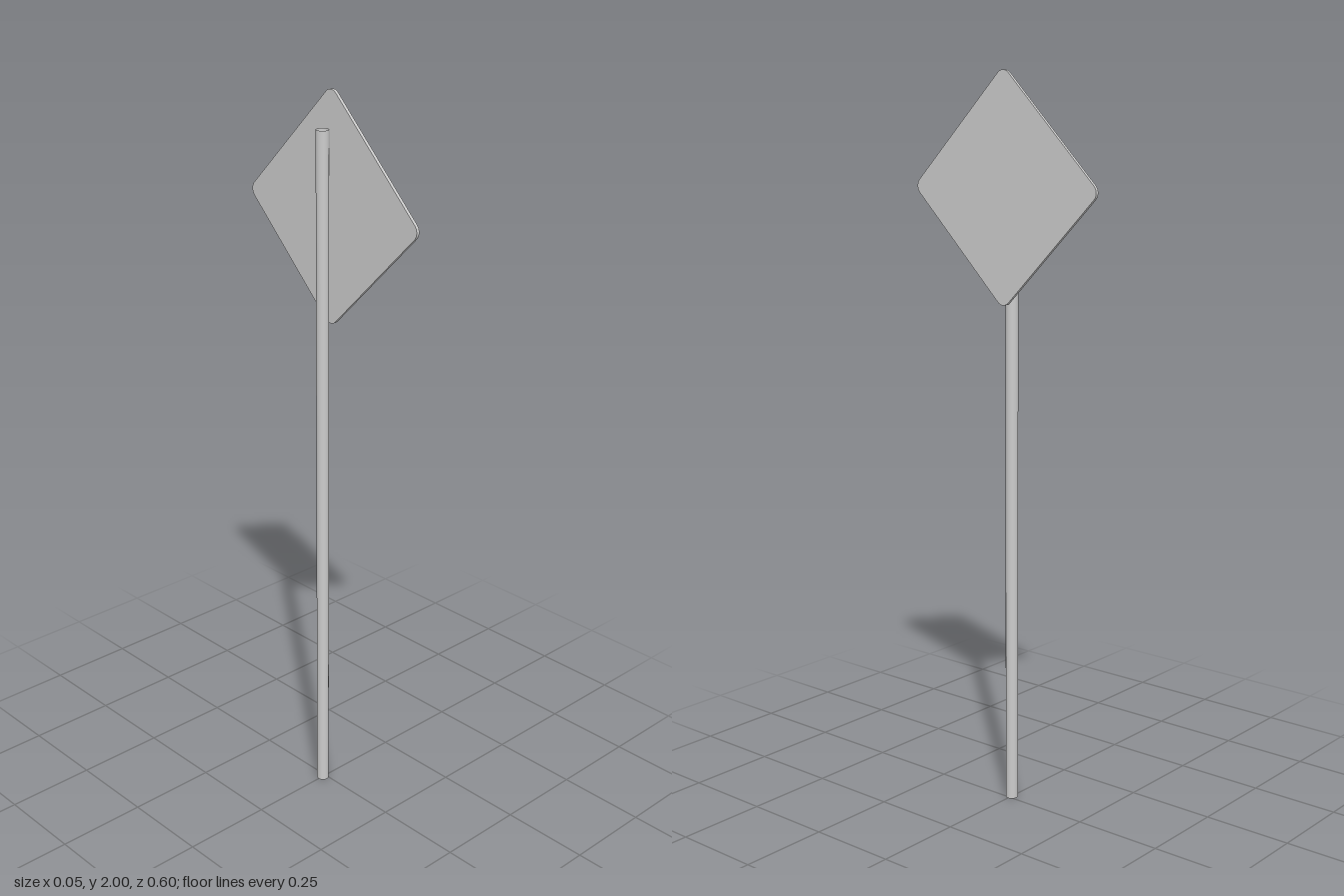
import * as THREE from 'three';

export function createModel() {
  const group = new THREE.Group();
  group.name = 'signPost';
  const material = new THREE.MeshStandardMaterial({ color: 0xcccccc, side: THREE.DoubleSide });

  // Open-ended tubular post
  const height = 1.905;
  const post = new THREE.Mesh(new THREE.CylinderGeometry(0.017, 0.017, height, 20, 1, true), material);
  post.name = 'post';
  post.position.set(-0.01, height / 2, 0);
  group.add(post);

  // Thin square plate with rounded corners, standing on one corner
  const half = 0.221, radius = 0.025, thickness = 0.009, inner = half - radius;
  const outline = new THREE.Shape();
  [[1, 1], [-1, 1], [-1, -1], [1, -1]].forEach(([sx, sy], i) => {
    const start = i * Math.PI / 2;
    outline.absarc(sx * inner, sy * inner, radius, start, start + Math.PI / 2, false);
  });
  outline.closePath();
  const plateGeometry = new THREE.ExtrudeGeometry(outline, {
    depth: thickness, bevelEnabled: false, curveSegments: 6,
  });
  plateGeometry.translate(0, 0, -thickness / 2);
  plateGeometry.rotateZ(Math.PI / 4);
  plateGeometry.rotateY(Math.PI / 2);
  const plate = new THREE.Mesh(plateGeometry, material);
  plate.name = 'signPlate';
  plate.position.set(0.0225, 1.698, 0);
  group.add(plate);

  return group;
}
